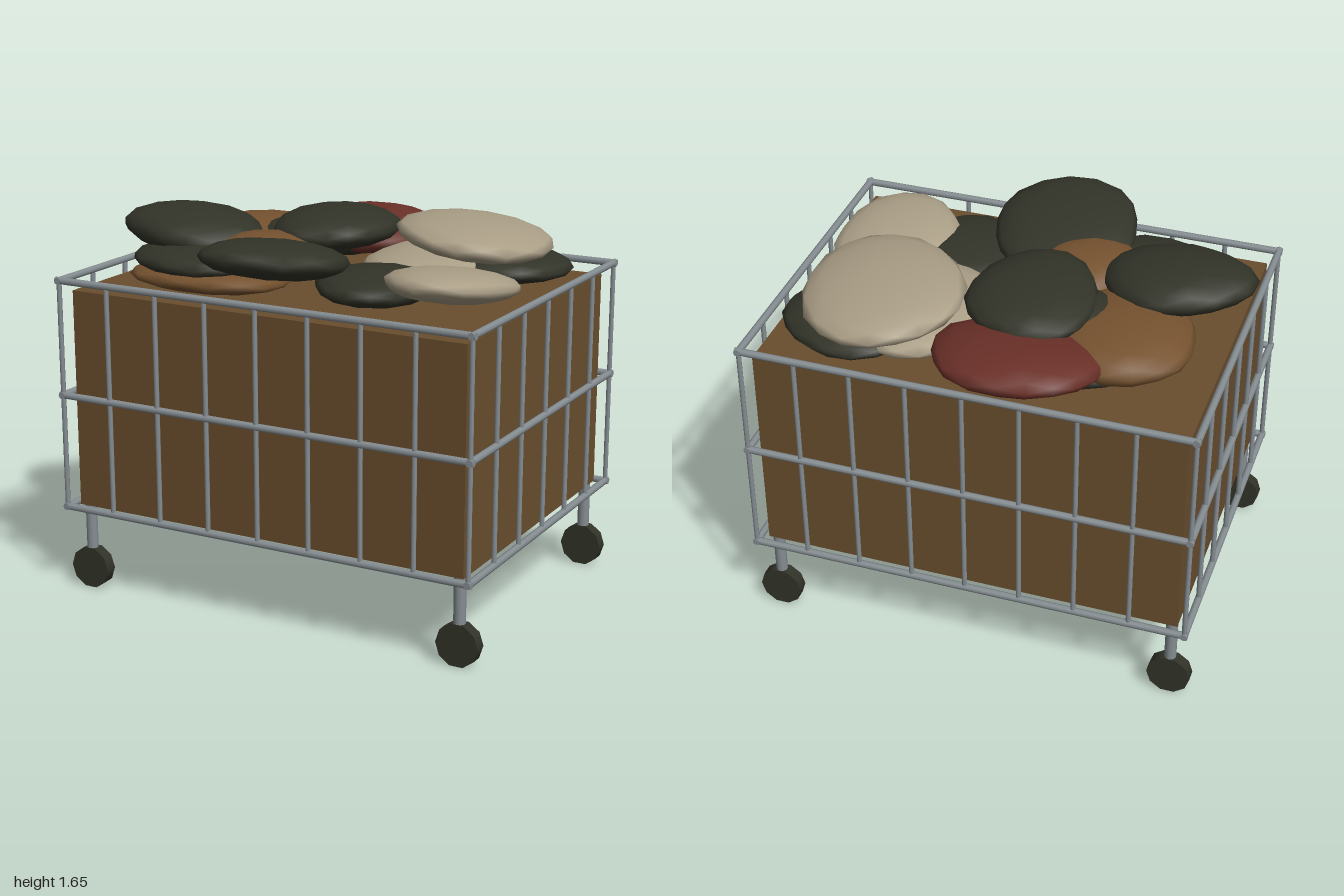
import * as THREE from 'three';
import { mergeVertices } from 'three/addons/utils/BufferGeometryUtils.js';

export function createModel() {
  const root = new THREE.Group();
  root.name = 'wheeledCart';
  const mat = (name, color) => {
    const m = new THREE.MeshStandardMaterial({ color });
    m.name = name;
    return m;
  };
  const steel = mat('steel grey', 0x868e92);
  const crate = mat('crate brown', 0x6a4e2e);
  const dark = mat('dark olive', 0x323328);
  const cream = mat('cream', 0xaa9e86);
  const red = mat('brick red', 0x6a3028);
  const tan = mat('tan brown', 0x75522f);

  const add = (name, geo, material, x, y, z, parent = root) => {
    const mesh = new THREE.Mesh(geo, material);
    mesh.name = name;
    mesh.position.set(x, y, z);
    parent.add(mesh);
    return mesh;
  };

  const X = 0.97, ZC = 0.035, Z = 0.73;
  const LOW = 0.387, MID = 0.895, TOP = 1.402;

  // Inner crate
  add('crate', new THREE.BoxGeometry(1.86, 0.965, 1.38), crate, 0, 0.873, ZC);

  // Horizontal rails around the crate
  const frame = new THREE.Group();
  frame.name = 'wireFrame';
  root.add(frame);
  const railX = new THREE.CylinderGeometry(0.016, 0.016, 2 * X + 0.03, 8).rotateZ(Math.PI / 2);
  const railZ = new THREE.CylinderGeometry(0.016, 0.016, 2 * Z + 0.03, 8).rotateX(Math.PI / 2);
  for (const y of [LOW, MID, TOP]) {
    for (const s of [-1, 1]) {
      add('longRail', railX, steel, 0, y, ZC + s * Z, frame);
      add('shortRail', railZ, steel, s * X, y, ZC, frame);
    }
  }

  // Upright bars, evenly spaced
  const bar = new THREE.CylinderGeometry(0.011, 0.011, TOP - LOW, 8);
  const yBar = (TOP + LOW) / 2;
  for (const s of [-1, 1]) {
    for (let i = 0; i <= 8; i++) add('upright', bar, steel, -X + i * X / 4, yBar, ZC + s * Z, frame);
    for (let i = 1; i < 6; i++) add('upright', bar, steel, s * X, yBar, ZC - Z + i * Z / 3, frame);
  }

  // Legs with wheels
  const leg = new THREE.CylinderGeometry(0.026, 0.026, 0.26, 10);
  const wheel = new THREE.CylinderGeometry(0.095, 0.095, 0.055, 10)
    .rotateY(Math.PI / 10).rotateX(Math.PI / 2);
  for (const x of [-0.9, 0.9]) {
    for (const z of [-0.62, 0.69]) {
      add('leg', leg, steel, x, 0.26, z);
      add('wheel', wheel, dark, x, 0.095, z);
    }
  }

  // Lumpy cushion: a flattened ball with gentle dents
  const lump = (seed) => {
    const g = new THREE.IcosahedronGeometry(1, 2);
    g.deleteAttribute('normal');
    g.deleteAttribute('uv');
    const m = mergeVertices(g, 1e-4);
    const p = m.attributes.position;
    const v = new THREE.Vector3();
    for (let i = 0; i < p.count; i++) {
      v.fromBufferAttribute(p, i);
      const k = 1 + 0.05 * Math.sin(3.1 * v.x + seed) + 0.05 * Math.sin(3.7 * v.z + 2.3 * seed);
      p.setXYZ(i, v.x * k, v.y, v.z * k);
    }
    return m;
  };

  // Pile: name, material, centre, half sizes, tilt (x, y, z)
  const pile = [
    ['leftTopBundle', dark, [-0.665, 1.555, 0.17], [0.33, 0.1, 0.27], [0.05, 0, -0.08]],
    ['frontTopBundle', dark, [-0.08, 1.53, 0.46], [0.34, 0.085, 0.32], [-0.15, 0.25, 0]],
    ['centreTopBundle', dark, [-0.12, 1.56, -0.14], [0.26, 0.09, 0.36], [0, 0.1, 0]],
    ['backBundle', red, [-0.17, 1.49, -0.5], [0.35, 0.09, 0.29], [0.1, 0, 0]],
    ['backLeftBundle', tan, [-0.53, 1.47, -0.18], [0.32, 0.1, 0.32], [0, 0, 0]],
    ['middleBundle', tan, [-0.25, 1.48, 0.24], [0.24, 0.11, 0.24], [0, 0, 0]],
    ['frontLeftLowBundle', tan, [-0.45, 1.405, 0.34], [0.36, 0.065, 0.28], [0, 0, 0]],
    ['frontLeftBundle', dark, [-0.52, 1.465, 0.34], [0.33, 0.07, 0.26], [0, 0, 0]],
    ['innerBundle', dark, [-0.3, 1.5, -0.15], [0.22, 0.08, 0.2], [0, 0, 0]],
    ['backLowBundle', dark, [-0.28, 1.45, -0.38], [0.34, 0.08, 0.18], [0, 0.15, 0.05]],
    ['largePaleBundle', cream, [0.49, 1.55, -0.28], [0.32, 0.085, 0.44], [0, 0.5, -0.1]],
    ['rightPaleBundle', cream, [0.63, 1.46, 0.26], [0.27, 0.075, 0.3], [-0.14, -0.4, 0]],
    ['rightLowBundle', dark, [0.31, 1.43, 0.3], [0.28, 0.075, 0.26], [0, 0.4, 0]],
    ['backRightBundle', dark, [0.6, 1.43, -0.34], [0.29, 0.07, 0.32], [0, 0, 0]],
    ['innerPaleBundle', cream, [0.33, 1.44, -0.2], [0.27, 0.08, 0.37], [0, 0, 0]],
  ];
  pile.forEach(([name, material, c, size, tilt], i) => {
    const mesh = add(name, lump(i * 1.7 + 0.4), material, ...c);
    mesh.geometry.scale(...size);
    mesh.geometry.computeVertexNormals();
    mesh.rotation.set(...tilt);
  });

  return root;
}
